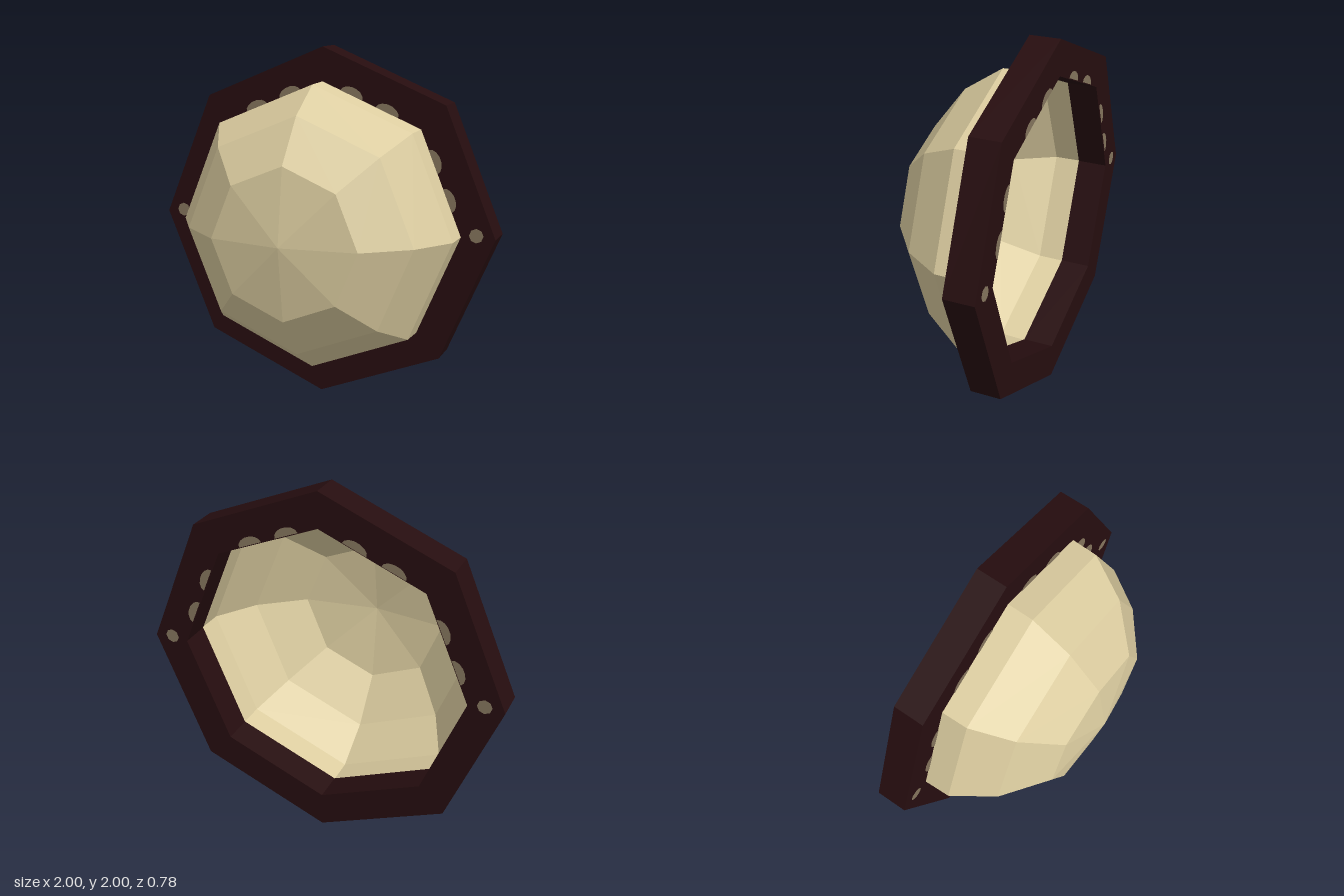
import * as THREE from 'three';

const SIDES = 8;
const R_OUT = 1, R_IN = 0.805;
const Z_BACK = -0.39, Z_FRONT = -0.22;

const corner = (i, r) => new THREE.Vector2(
  Math.cos(i * Math.PI / 4) * r, Math.sin(i * Math.PI / 4) * r);
const octagon = (r) => Array.from({ length: SIDES }, (_, i) => corner(i, r));

export function createModel() {
  const model = new THREE.Group();
  const cream = new THREE.MeshStandardMaterial({ color: 0xdccda0, flatShading: true, side: THREE.DoubleSide });
  cream.name = 'cream';
  const darkBrown = new THREE.MeshStandardMaterial({ color: 0x260d0f, flatShading: true });
  darkBrown.name = 'darkBrown';
  const wornTan = new THREE.MeshStandardMaterial({ color: 0x85755d, side: THREE.DoubleSide });
  wornTan.name = 'wornTan';

  const add = (name, geometry, material) => {
    const mesh = new THREE.Mesh(geometry, material);
    mesh.name = name;
    mesh.position.y = 1;
    model.add(mesh);
    return mesh;
  };

  // Octagonal frame with an open centre
  const shape = new THREE.Shape(octagon(R_OUT));
  shape.holes.push(new THREE.Path(octagon(R_IN).reverse()));
  const frame = new THREE.ExtrudeGeometry(shape, { depth: Z_FRONT - Z_BACK, bevelEnabled: false });
  frame.translate(0, 0, Z_BACK);
  add('frame', frame, darkBrown);

  // Hollow faceted dome bulging forward
  const profile = [[0.81, Z_FRONT], [0.805, -0.075], [0.66, 0.145], [0.42, 0.33], [0, 0.39]]
    .map(([r, z]) => new THREE.Vector2(r, z));
  add('dome', new THREE.LatheGeometry(profile, SIDES).rotateX(Math.PI / 2), cream);

  // Worn patches on both faces of the frame
  for (const [side, z] of [['front', Z_FRONT + 0.003], ['back', Z_BACK - 0.003]]) {
    for (let edge = 0; edge < 4; edge++) {
      const a = corner(edge, 0.81), b = corner(edge + 1, 0.81);
      for (const t of [0.34, 0.7]) {
        const p = a.clone().lerp(b, t);
        const patch = new THREE.CircleGeometry(1, 7, 0, Math.PI);
        patch.scale(0.07, 0.045, 1);
        patch.rotateZ((edge + 0.5) * Math.PI / 4 - Math.PI / 2);
        patch.translate(p.x, p.y, z);
        add(side + 'EdgePatch', patch, wornTan);
      }
    }
    for (const s of [-1, 1]) {
      const spot = new THREE.CircleGeometry(0.04, 8);
      spot.translate(s * 0.895, 0.015, z);
      add(side + 'Spot', spot, wornTan);
    }
  }
  return model;
}
